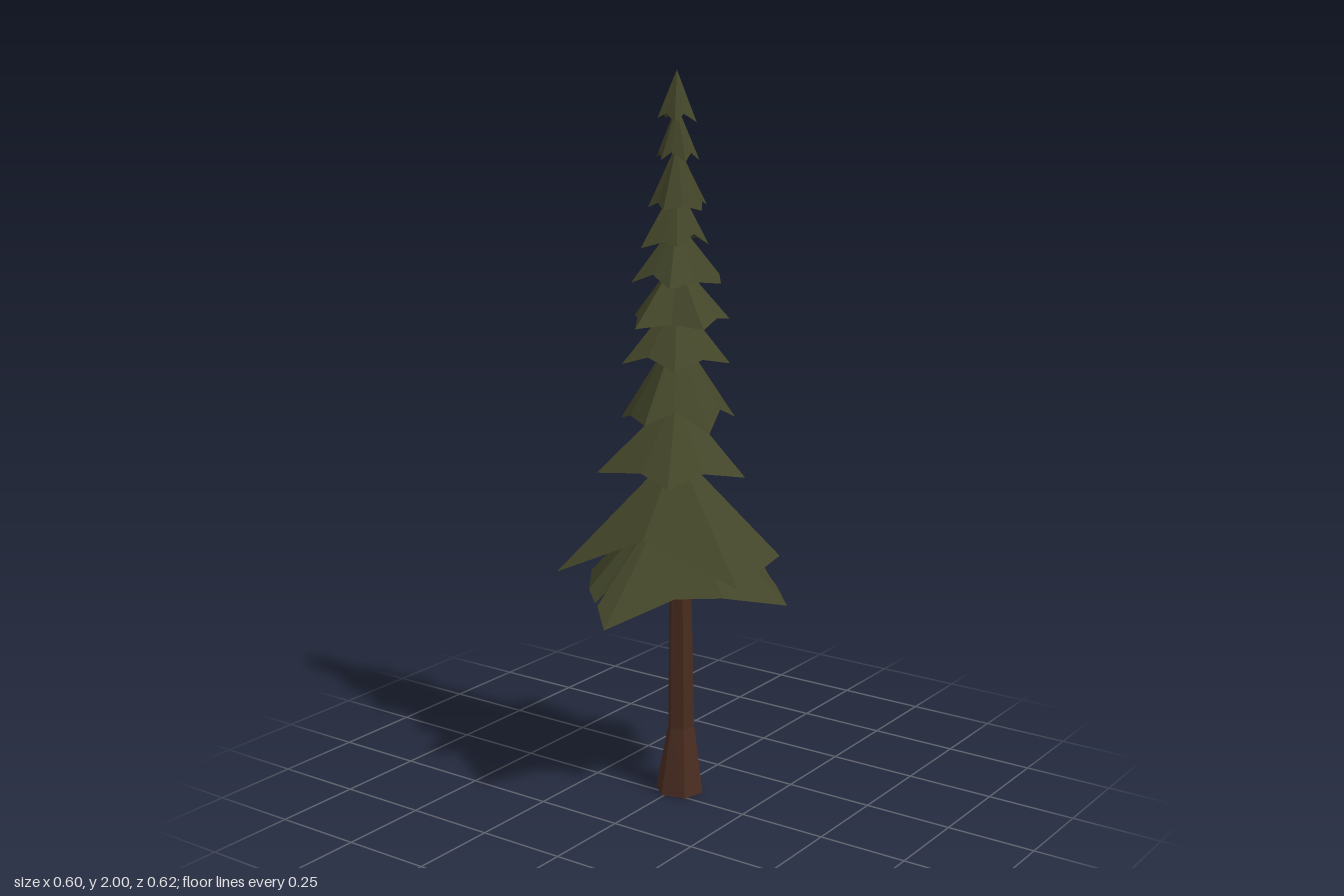
import * as THREE from 'three';

const bark = new THREE.MeshStandardMaterial({ color: 0x4a2c20, flatShading: true });
const needles = new THREE.MeshStandardMaterial({ color: 0x434629, flatShading: true, side: THREE.DoubleSide });

// Small seeded generator for uneven branches
function seeded(seed) {
  return () => (seed = (seed * 16807) % 2147483647) / 2147483647;
}

function meshFrom(triangles, material, name) {
  const geometry = new THREE.BufferGeometry().setFromPoints(triangles);
  geometry.computeVertexNormals();
  const mesh = new THREE.Mesh(geometry, material);
  mesh.name = name;
  return mesh;
}

// Trunk: hexagonal sections [centre x, y, centre z, radius x, radius z]
function makeTrunk() {
  const sides = 6;
  const sections = [
    [0.04, 0, 0.01, 0.065, 0.07],
    [0.052, 0.19, 0.008, 0.04, 0.038],
    [0.042, 0.64, 0.01, 0.031, 0.032],
    [0.04, 1.2, 0, 0.02, 0.02],
    [0.037, 1.85, 0, 0.006, 0.006],
  ];
  const rings = sections.map(([cx, y, cz, rx, rz]) => Array.from({ length: sides }, (_, i) => {
    const a = (i / sides) * Math.PI * 2 + 0.25;
    return new THREE.Vector3(cx + rx * Math.cos(a), y, cz + rz * Math.sin(a));
  }));
  const tris = [];
  for (let i = 0; i < sides; i++) {
    const j = (i + 1) % sides;
    for (let k = 0; k < rings.length - 1; k++) {
      const [a, b, c, d] = [rings[k][i], rings[k][j], rings[k + 1][j], rings[k + 1][i]];
      tris.push(a, d, c, a, c, b);
    }
    tris.push(new THREE.Vector3(0.04, 0, 0.01), rings[0][i], rings[0][j]);
  }
  return meshFrom(tris, bark, 'trunk');
}

// Branch tier: a jagged cone with a hollow underside; rim points are [x, z, y]
function makeTier(top, rim, name, hollow) {
  const rimPoints = rim.map(([x, z, y]) => new THREE.Vector3(x, y, z));
  const low = rimPoints.reduce((sum, p) => sum + p.y, 0) / rim.length;
  const apex = new THREE.Vector3(0.038, top, 0);
  const inner = new THREE.Vector3(0.038, low + (top - low) * hollow, 0);
  const tris = [];
  rimPoints.forEach((p, i) => {
    const q = rimPoints[(i + 1) % rimPoints.length];
    tris.push(apex, q, p, inner, p, q);
  });
  return meshFrom(tris, needles, name);
}

// Uneven rim of tips and notches fitted to the extents [x0, x1, z0, z1]
function makeRim([x0, x1, z0, z1], y, height, tips, phase, random) {
  const rim = [];
  for (let i = 0; i < tips * 2; i++) {
    const tip = i % 2 === 0;
    const a = phase + ((i + (random() - 0.5) * 0.4) / (tips * 2)) * Math.PI * 2;
    const s = (tip ? 1.02 : 0.76) + (random() - 0.5) * 0.12;
    const c = Math.cos(a), d = Math.sin(a);
    rim.push([
      0.038 + s * c * (c > 0 ? x1 - 0.038 : 0.038 - x0),
      s * d * (d > 0 ? z1 : -z0),
      y + (tip ? 0 : 0.1 * height) + random() * 0.12 * height,
    ]);
  }
  return rim;
}

export function createModel() {
  const group = new THREE.Group();
  group.name = 'pineTree';
  group.add(makeTrunk());

  // Two broad lower skirts
  group.add(makeTier(0.9, [
    [-0.3, 0.005, 0.565], [-0.14, 0.12, 0.63], [-0.06, 0.22, 0.63], [0.118, 0.31, 0.58],
    [0.2, 0.225, 0.6], [0.19, 0.195, 0.64], [0.225, 0.195, 0.6], [0.3, 0.115, 0.62],
    [0.268, 0.02, 0.65], [0.2, -0.12, 0.67], [0.15, -0.235, 0.62], [0.105, -0.315, 0.58],
    [0, -0.265, 0.61], [-0.2, -0.12, 0.63], [-0.24, -0.07, 0.61], [-0.22, -0.048, 0.64], [-0.255, -0.05, 0.61],
  ], 'lowestBranches', 0.55));
  group.add(makeTier(0.99, [
    [-0.225, -0.21, 0.67], [-0.16, 0.03, 0.78], [-0.1, 0.29, 0.68], [0.165, 0.255, 0.7],
    [0.25, 0.03, 0.75], [0.29, -0.2, 0.69], [0.04, -0.262, 0.72],
  ], 'lowerBranches', 0.55));

  // Upper tiers: [top y, tip y, rim extents, tips, phase]
  const tiers = [
    [1.14, 0.91, [-0.17, 0.235, -0.21, 0.185], 5, 0.1],
    [1.32, 1.06, [-0.135, 0.215, -0.155, 0.15], 5, 0.55],
    [1.41, 1.225, [-0.125, 0.165, -0.13, 0.15], 5, 0.0],
    [1.51, 1.33, [-0.115, 0.175, -0.13, 0.155], 5, 0.8],
    [1.61, 1.44, [-0.09, 0.18, -0.11, 0.14], 5, 0.2],
    [1.71, 1.54, [-0.065, 0.14, -0.105, 0.075], 5, 1.0],
    [1.81, 1.635, [-0.045, 0.13, -0.07, 0.09], 5, 0.4],
    [1.91, 1.765, [-0.02, 0.095, -0.06, 0.06], 5, 0.9],
    [2.0, 1.865, [-0.012, 0.09, -0.05, 0.052], 5, 0.1],
  ];
  const random = seeded(4127);
  tiers.forEach(([top, tip, extents, tips, phase], i) => {
    const rim = makeRim(extents, tip, top - tip, tips, phase, random);
    group.add(makeTier(top, rim, `branchTier${i + 1}`, 0.45));
  });
  return group;
}
